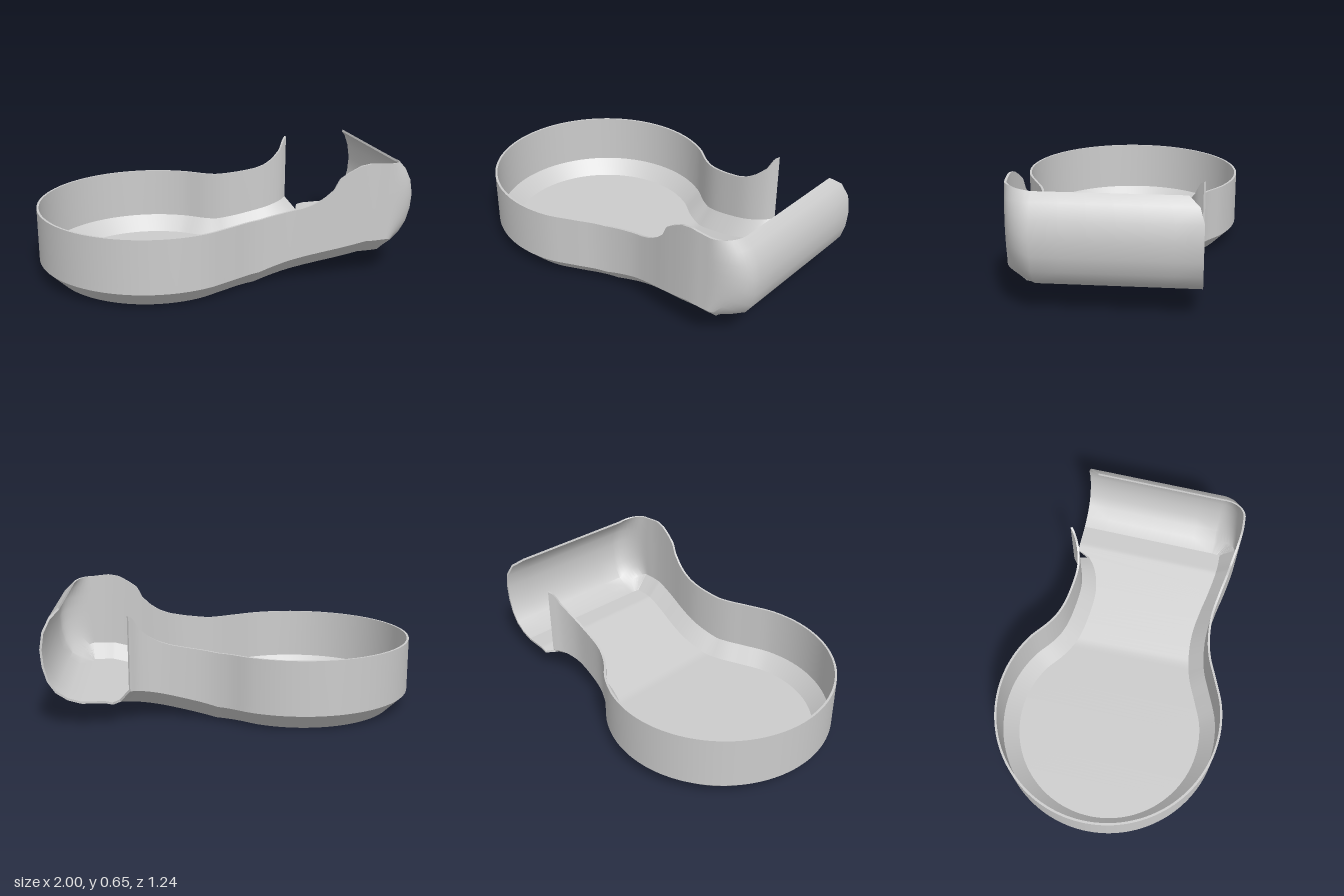
import * as THREE from 'three';
import { toCreasedNormals } from 'three/addons/utils/BufferGeometryUtils.js';

const V = (x, y, z) => new THREE.Vector3(x, y, z);
const ROWS = 8, SUB = 6, THICK = 0.012, CHAMFER = 0.09;
const BACK_Z = -0.44, CORNER_Z = 0.36, END_X = 0.8;

// Linear interpolation through [x, y] pairs
function interpolate(table, x) {
  if (x <= table[0][0]) return table[0][1];
  for (let i = 1; i < table.length; i++) {
    const [x0, y0] = table[i - 1], [x1, y1] = table[i];
    if (x <= x1) return y0 + (y1 - y0) * (x - x0) / (x1 - x0);
  }
  return table[table.length - 1][1];
}
const floorY = x => interpolate([[0.1, 0], [0.68, 0.13]], x);
const rimY = x => interpolate([[0.1, 0.38], [0.25, 0.4], [0.34, 0.415], [0.4, 0.435], [0.45, 0.465],
  [0.5, 0.51], [0.53, 0.57], [0.58, 0.605], [0.64, 0.637], [0.7, 0.648], [0.8, 0.638]], x);

// Plan outline: back waist, round bowl, front waist
const backWaist = [[0.55, -0.44], [0.5, -0.4], [0.41, -0.372], [0.28, -0.377], [0.15, -0.402], [0.05, -0.45]];
const frontWaist = [[0.05, 0.483], [0.15, 0.457], [0.28, 0.446], [0.41, 0.462], [0.5, 0.48], [0.55, 0.489],
  [0.64, 0.502], [0.72, 0.508], [0.8, 0.505]];
const bowl = [];
for (let a = -60; a >= -300; a -= 15) {
  const r = a * Math.PI / 180;
  bowl.push([-0.38 + 0.62 * Math.cos(r), 0.62 * Math.sin(r)]);
}
const outline = [...backWaist, ...bowl, ...frontWaist].map(([x, z]) => V(x, 0, z));
const curve = new THREE.CatmullRomCurve3(outline);
const COUNT = (outline.length - 1) * SUB;
const TIP = (backWaist.length + 8) * SUB;

// Curled end lip, floor to free edge
const lipProfile = [[0.8, 0.13], [0.87, 0.15], [0.93, 0.19], [0.97, 0.25], [0.993, 0.33], [1, 0.42],
  [0.985, 0.51], [0.95, 0.58], [0.905, 0.62]];

// One skin of the shell, moved inwards by t
function makeSkin(t) {
  const columns = [];
  for (let i = 0; i <= COUNT; i++) {
    const p = curve.getPoint(i / COUNT), d = curve.getTangent(i / COUNT);
    const at = (inset, y) => V(p.x + d.z * inset, y, p.z - d.x * inset);
    const foot = at(CHAMFER + t * 0.4, 0);
    foot.y = floorY(foot.x) + t;
    const col = [foot];
    const low = floorY(p.x) + CHAMFER + t * 0.4, high = rimY(p.x);
    for (let j = 1; j <= ROWS; j++) col.push(at(t, low + (high - low) * (j - 1) / (ROWS - 1)));
    columns.push(col);
  }
  const wallEnd = columns[COUNT];
  const lip = lipProfile.map(([x, y], j) => {
    if (j === 0) return V(x, y + t, CORNER_Z);
    const n = V(0.83 - x, 0.4 - y, 0).normalize();
    return V(x + n.x * t, y + n.y * t, CORNER_Z);
  });
  // Rounded corner between front wall and lip
  for (let k = 1; k <= 10; k++) {
    const a = k / 10 * Math.PI / 2, s = Math.sin(a), c = Math.cos(a);
    columns.push(lip.map((q, j) => {
      const w = wallEnd[j];
      return V(w.x + (q.x - w.x) * s, w.y + (q.y - w.y) * (1 - c), q.z + (w.z - q.z) * c);
    }));
  }
  // Straight run of the lip, with its upper back corner rounded
  const ends = lip.map((q, j) => (j === 8 ? -0.365 : j === 7 ? -0.418 : BACK_Z));
  for (let k = 1; k <= 6; k++) {
    columns.push(lip.map((q, j) => V(q.x, q.y, q.z + (ends[j] - q.z) * k / 6)));
  }
  // Floor edges: front foot paired with back foot or open edge
  const front = [], back = [];
  for (let i = 0; TIP + i <= COUNT; i++) {
    const f = columns[TIP + i][0];
    front.push(f);
    if (TIP - i >= 0) back.push(columns[TIP - i][0]);
    else {
      const x = Math.min(END_X, Math.max(0.64, f.x));
      back.push(V(x, floorY(x) + t, BACK_Z));
    }
  }
  front.push(V(END_X, 0.13 + t, CORNER_Z));
  back.push(V(END_X, 0.13 + t, BACK_Z));
  // Free edge running round the whole shell
  const edge = [...columns[0], ...columns.map(c => c[ROWS]),
    ...columns[columns.length - 1].slice().reverse(), ...back.slice(TIP).reverse(), columns[0][0]];
  return { columns, front, back, edge };
}

// Joins neighbouring point lists with quads
function addStrips(out, lists, flip) {
  const tri = (a, b, c) => (flip ? [a, c, b] : [a, b, c]).forEach(p => out.push(p));
  for (let i = 0; i + 1 < lists.length; i++) {
    const p = lists[i], q = lists[i + 1];
    for (let j = 0; j + 1 < p.length; j++) {
      tri(p[j], q[j], q[j + 1]);
      tri(p[j], q[j + 1], p[j + 1]);
    }
  }
}

function makeMesh(name, points, material) {
  const geometry = toCreasedNormals(new THREE.BufferGeometry().setFromPoints(points), 0.55);
  const mesh = new THREE.Mesh(geometry, material);
  mesh.name = name;
  return mesh;
}

export function createModel() {
  const group = new THREE.Group();
  group.name = 'tray';
  const material = new THREE.MeshStandardMaterial({ color: 0xcccccc, side: THREE.DoubleSide });
  const outer = makeSkin(0), inner = makeSkin(THICK);
  const wall = [], floor = [], rim = [];
  [outer, inner].forEach((skin, k) => {
    addStrips(wall, skin.columns, k === 1);
    addStrips(floor, [skin.back, skin.front], k === 1);
  });
  addStrips(rim, [outer.edge, inner.edge], true);
  group.add(makeMesh('wallAndEndLip', wall, material));
  group.add(makeMesh('floor', floor, material));
  group.add(makeMesh('rim', rim, material));
  return group;
}
